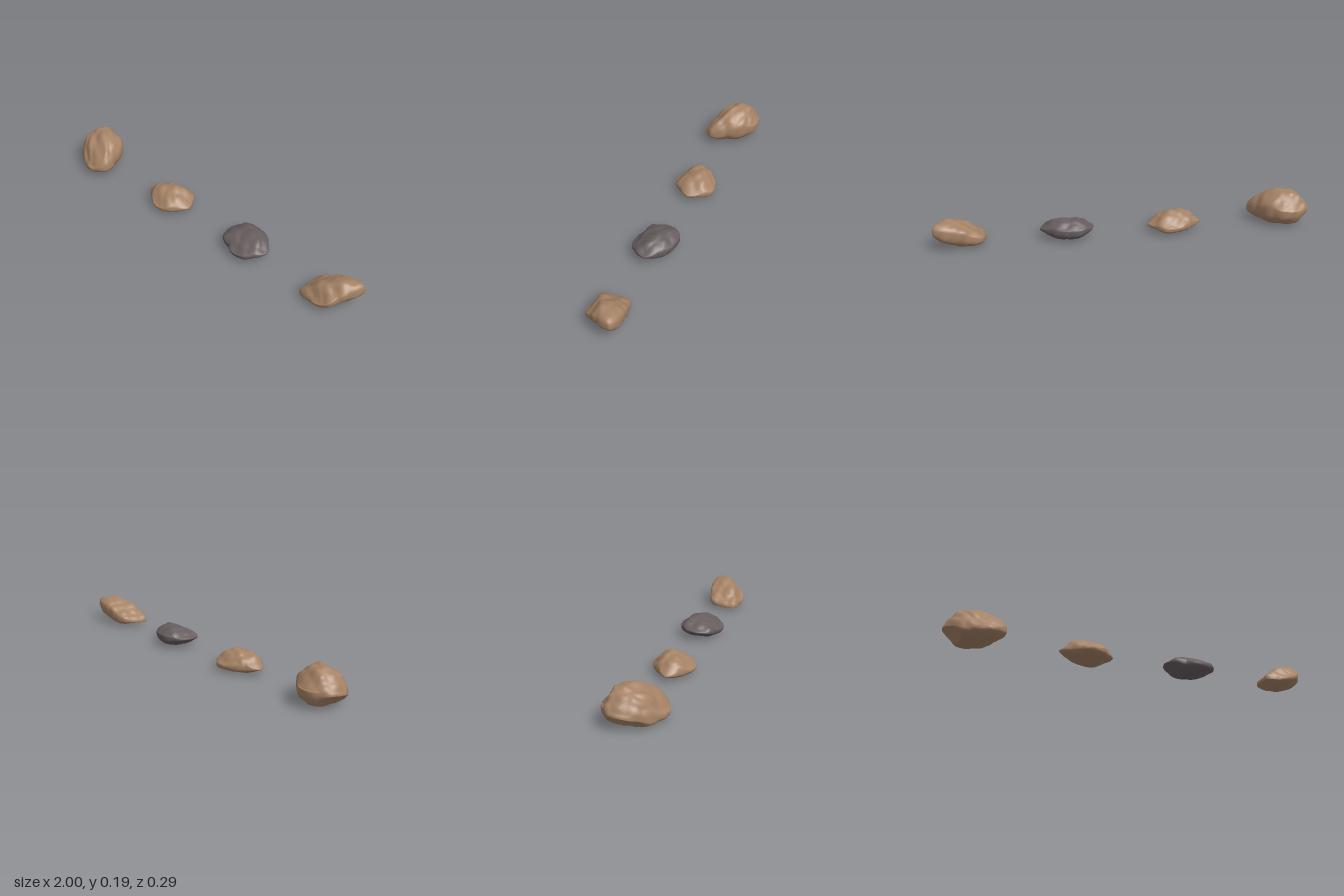
import * as THREE from 'three';
import { mergeVertices } from 'three/addons/utils/BufferGeometryUtils.js';

const brownStone = new THREE.MeshStandardMaterial({ color: 0xa58265 });
const darkStone = new THREE.MeshStandardMaterial({ color: 0x675d5f });
brownStone.name = 'brownStone';
darkStone.name = 'darkStone';

// value at t (0..1) in a list of evenly spaced values
function sample(values, t) {
  const s = THREE.MathUtils.clamp(t, 0, 1) * (values.length - 1);
  const i = Math.min(Math.floor(s), values.length - 2);
  return THREE.MathUtils.lerp(values[i], values[i + 1], s - i);
}

// uneven surface: broad lumps with creases between them, about 0 to 1
function lumps(x, y, z, seed) {
  const a = Math.sin(31 * x + 17 * y + seed) + Math.sin(37 * z - 23 * y + seed * 2.1);
  const b = Math.sin(67 * x - 41 * z + 29 * y + seed * 1.7) + Math.sin(59 * y + 53 * z + 24 * x + seed * 3.3);
  return 1 - Math.abs(a) * 0.3 - Math.abs(b) * 0.2;
}

// a sphere pulled to a plan outline (radii every 30 degrees from +x towards +z),
// to top heights across x and across z, and to an underside across x
function makeRock(name, material, rock) {
  const outline = [...rock.radii, rock.radii[0]];
  const [left, right] = rock.spanX, [back, front] = rock.spanZ;
  const sphere = new THREE.IcosahedronGeometry(1, 13);
  sphere.deleteAttribute('uv');
  sphere.deleteAttribute('normal');
  const geometry = mergeVertices(sphere, 1e-5);
  const pos = geometry.attributes.position;
  const dir = new THREE.Vector3();
  for (let i = 0; i < pos.count; i++) {
    dir.fromBufferAttribute(pos, i);
    const flat = Math.hypot(dir.x, dir.z);
    const turn = Math.atan2(dir.z, dir.x) / (Math.PI * 2);
    const reach = sample(outline, turn < 0 ? turn + 1 : turn) * Math.pow(flat, 0.85) / Math.max(flat, 1e-6);
    let x = rock.x + dir.x * reach;
    let z = dir.z * reach;
    const across = (x - left) / (right - left);
    const top = Math.min(sample(rock.topX, across), sample(rock.topZ, (z - back) / (front - back)));
    const bottom = sample(rock.bottomX, across);
    const [level, tiltX, tiltZ] = rock.waist;
    const waist = Math.max(bottom, Math.min(top, level + tiltX * dir.x + tiltZ * dir.z));
    let y = THREE.MathUtils.lerp(waist, dir.y > 0 ? top : bottom, Math.pow(Math.abs(dir.y), 0.65));
    // dents, shallow on the underside and along the widest line
    const dent = rock.rough * (lumps(x, y, z, rock.seed) - 0.35);
    const side = 0.25 + 0.75 * Math.abs(dir.y);
    x -= dir.x * dent * side;
    z -= dir.z * dent * side;
    y -= dir.y * (dir.y > 0 ? dent * 0.9 : Math.max(0, dent) * 0.3);
    pos.setXYZ(i, x, Math.max(0, y), z);
  }
  geometry.computeVertexNormals();
  const mesh = new THREE.Mesh(geometry, material);
  mesh.name = name;
  return mesh;
}

export function createModel() {
  const group = new THREE.Group();
  group.name = 'rocks';

  // tall boulder, leaning back
  group.add(makeRock('largeBrownRock', brownStone, {
    x: -0.85, spanX: [-1, -0.69], spanZ: [-0.148, 0.146], seed: 1.3, rough: 0.022, waist: [0.075, 0, -0.027],
    radii: [0.126, 0.172, 0.16, 0.124, 0.11, 0.118, 0.145, 0.168, 0.163, 0.145, 0.126, 0.118],
    topX: [0.12, 0.19, 0.208, 0.19, 0.168, 0.125],
    topZ: [0.1, 0.19, 0.206, 0.178, 0.135, 0.05],
    bottomX: [0.08, 0.006, 0.004, 0.004, 0.02],
  }));

  // low domed stone
  group.add(makeRock('flatBrownRock', brownStone, {
    x: -0.265, spanX: [-0.414, -0.12], spanZ: [-0.11, 0.11], seed: 4.2, rough: 0.015, waist: [0.04, 0, 0],
    radii: [0.144, 0.116, 0.113, 0.11, 0.101, 0.11, 0.15, 0.108, 0.103, 0.111, 0.13, 0.131],
    topX: [0.05, 0.097, 0.113, 0.117, 0.1, 0.045],
    topZ: [0.06, 0.1, 0.117, 0.112, 0.09, 0.04],
    bottomX: [0.022, 0.004, 0.004, 0.004, 0.02],
  }));

  // dark slab with a flat top sloping forward
  group.add(makeRock('darkRock', darkStone, {
    x: 0.305, spanX: [0.168, 0.451], spanZ: [-0.11, 0.11], seed: 7.9, rough: 0.013, waist: [0.058, 0, -0.012],
    radii: [0.147, 0.129, 0.118, 0.108, 0.093, 0.125, 0.134, 0.134, 0.126, 0.111, 0.113, 0.118],
    topX: [0.065, 0.104, 0.118, 0.121, 0.107, 0.066],
    topZ: [0.085, 0.118, 0.117, 0.103, 0.085, 0.048],
    bottomX: [0.05, 0.01, 0.005, 0.008, 0.035],
  }));

  // wedge rising to its left end
  group.add(makeRock('wedgeBrownRock', brownStone, {
    x: 0.86, spanX: [0.729, 1], spanZ: [-0.104, 0.104], seed: 2.6, rough: 0.016, waist: [0.065, 0.035, -0.02],
    radii: [0.112, 0.094, 0.103, 0.105, 0.106, 0.15, 0.132, 0.129, 0.1, 0.096, 0.117, 0.162],
    topX: [0.068, 0.098, 0.127, 0.148, 0.162, 0.172],
    topZ: [0.155, 0.172, 0.166, 0.145, 0.11, 0.05],
    bottomX: [0.012, 0.003, 0.008, 0.03, 0.065],
  }));

  return group;
}
